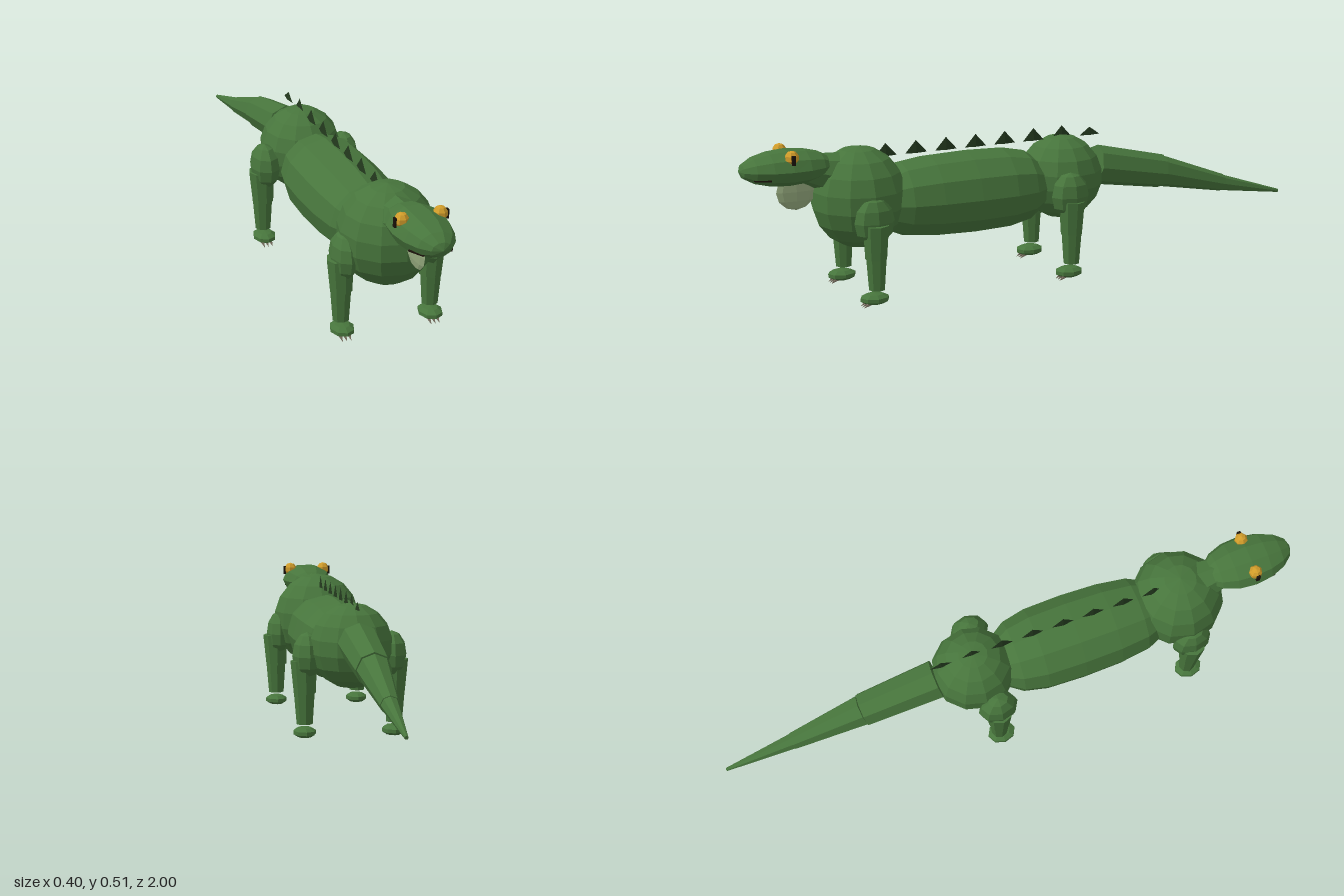
import * as THREE from 'three';

const mat = (name, color) => {
  const m = new THREE.MeshStandardMaterial({ color, flatShading: true });
  m.name = name;
  return m;
};

export function createModel() {
  const skin = mat('skin green', 0x47753c);
  const crest = mat('crest dark green', 0x22381d);
  const gold = mat('eye gold', 0xd29d2a);
  const black = mat('pupil black', 0x1a120a);
  const pale = mat('dewlap pale green', 0x93a87c);
  const horn = mat('claw grey', 0x746b5c);

  const model = new THREE.Group();
  model.name = 'lizard';

  const add = (name, geometry, material, parent = model) => {
    const mesh = new THREE.Mesh(geometry, material);
    mesh.name = name;
    parent.add(mesh);
    return mesh;
  };
  const blob = (name, [x, y, z], [rx, ry, rz], material = skin, parent = model, w = 10, h = 8) =>
    add(name, new THREE.SphereGeometry(1, w, h).scale(rx, ry, rz).translate(x, y, z), material, parent);

  // Tapered limb or tail piece between two points
  const taper = (name, a, b, ra, rb, parent = model, sides = 8) => {
    const from = new THREE.Vector3(...a), to = new THREE.Vector3(...b);
    const dir = to.clone().sub(from);
    const mesh = add(name, new THREE.CylinderGeometry(rb, ra, dir.length(), sides), skin, parent);
    mesh.position.copy(from).add(to).multiplyScalar(0.5);
    mesh.quaternion.setFromUnitVectors(new THREE.Vector3(0, 1, 0), dir.normalize());
    return mesh;
  };

  // Trunk: barrel between the chest and the hips
  const profile = [[0, -0.04], [0.085, -0.03], [0.118, 0.02], [0.135, 0.1], [0.139, 0.23],
    [0.135, 0.36], [0.122, 0.46], [0.1, 0.51], [0, 0.53]];
  add('trunk', new THREE.LatheGeometry(profile.map(p => new THREE.Vector2(...p)), 12)
    .rotateX(Math.PI / 2).scale(1.05, 1, 1).translate(0, 0.303, 0), skin);
  blob('chest', [0, 0.327, 0.605], [0.157, 0.165, 0.157], skin, model, 12, 9);
  blob('hips', [0, 0.32, -0.12], [0.138, 0.142, 0.142], skin, model, 12, 9);

  // Tail in three tapering pieces
  const tail = [[0.345, -0.25], [0.295, -0.51], [0.227, -0.76], [0.172, -0.999]];
  const tailRadii = [[0.068, 0.058], [0.054, 0.03], [0.028, 0.006]];
  tailRadii.forEach(([ra, rb], i) =>
    taper('tail' + (i + 1), [0, ...tail[i]], [0, ...tail[i + 1]], ra, rb));

  // Head: flattened egg, blunt at the snout
  const head = new THREE.Group();
  head.name = 'head';
  model.add(head);
  const skull = new THREE.SphereGeometry(1, 10, 8).rotateX(Math.PI / 2);
  const pos = skull.attributes.position;
  for (let i = 0; i < pos.count; i++) {
    const z = pos.getZ(i);
    const wide = 1 - 0.06 * z;
    pos.setXYZ(i, pos.getX(i) * 0.09 * wide, 0.447 + pos.getY(i) * 0.058, 0.845 + z * 0.155);
  }
  skull.computeVertexNormals();
  add('skull', skull, skin, head);
  taper('neck', [0, 0.41, 0.68], [0, 0.44, 0.8], 0.07, 0.045, head);
  blob('dewlap', [0, 0.365, 0.815], [0.01, 0.06, 0.065], pale, head, 8, 6);

  for (const s of [-1, 1]) {
    blob('eye', [s * 0.062, 0.488, 0.845], [0.023, 0.024, 0.023], gold, head, 7, 5);
    add('pupil', new THREE.BoxGeometry(0.007, 0.03, 0.012).translate(s * 0.084, 0.484, 0.846), black, head);
    const mouth = add('mouthLine', new THREE.BoxGeometry(0.008, 0.004, 0.055), black, head);
    mouth.position.set(s * 0.056, 0.423, 0.938);
    mouth.rotation.y = -s * 0.5;
  }

  // Crest: thin spikes along the back
  for (let i = 0; i < 8; i++) {
    const tall = i === 7 ? 0.027 : 0.042;
    add('crestSpike', new THREE.ConeGeometry(0.038, tall, 4)
      .scale(0.16, 1, 1).translate(0, 0.45 + tall / 2, 0.51 - i * 0.1057), crest);
  }

  // Legs: muscle, upper leg, lower leg, foot and three claws
  const legs = [['front', 0.607, 0.143, 0.042, 0.275], ['hind', -0.085, 0.142, 0.05, 0.285]];
  for (const [label, z, x, rx, y] of legs) {
    for (const s of [-1, 1]) {
      const leg = new THREE.Group();
      leg.name = label + (s > 0 ? 'LeftLeg' : 'RightLeg');
      model.add(leg);
      blob('thigh', [s * x, y, z], [rx, 0.078, 0.068], skin, leg, 8, 6);
      taper('upperLeg', [s * 0.154, 0.27, z], [s * 0.15, 0.16, z], 0.044, 0.037, leg);
      taper('lowerLeg', [s * 0.152, 0.165, z], [s * 0.151, 0.057, z], 0.035, 0.027, leg);
      blob('foot', [s * 0.15, 0.028, z + 0.008], [0.04, 0.019, 0.05], skin, leg, 8, 5);
      for (const k of [-1, 0, 1]) {
        const claw = add('claw', new THREE.ConeGeometry(0.007, 0.026, 5), horn, leg);
        claw.position.set(s * 0.15 + k * 0.014, 0.01, z + 0.04);
        claw.rotation.x = Math.PI * 0.68;
      }
    }
  }
  return model;
}
